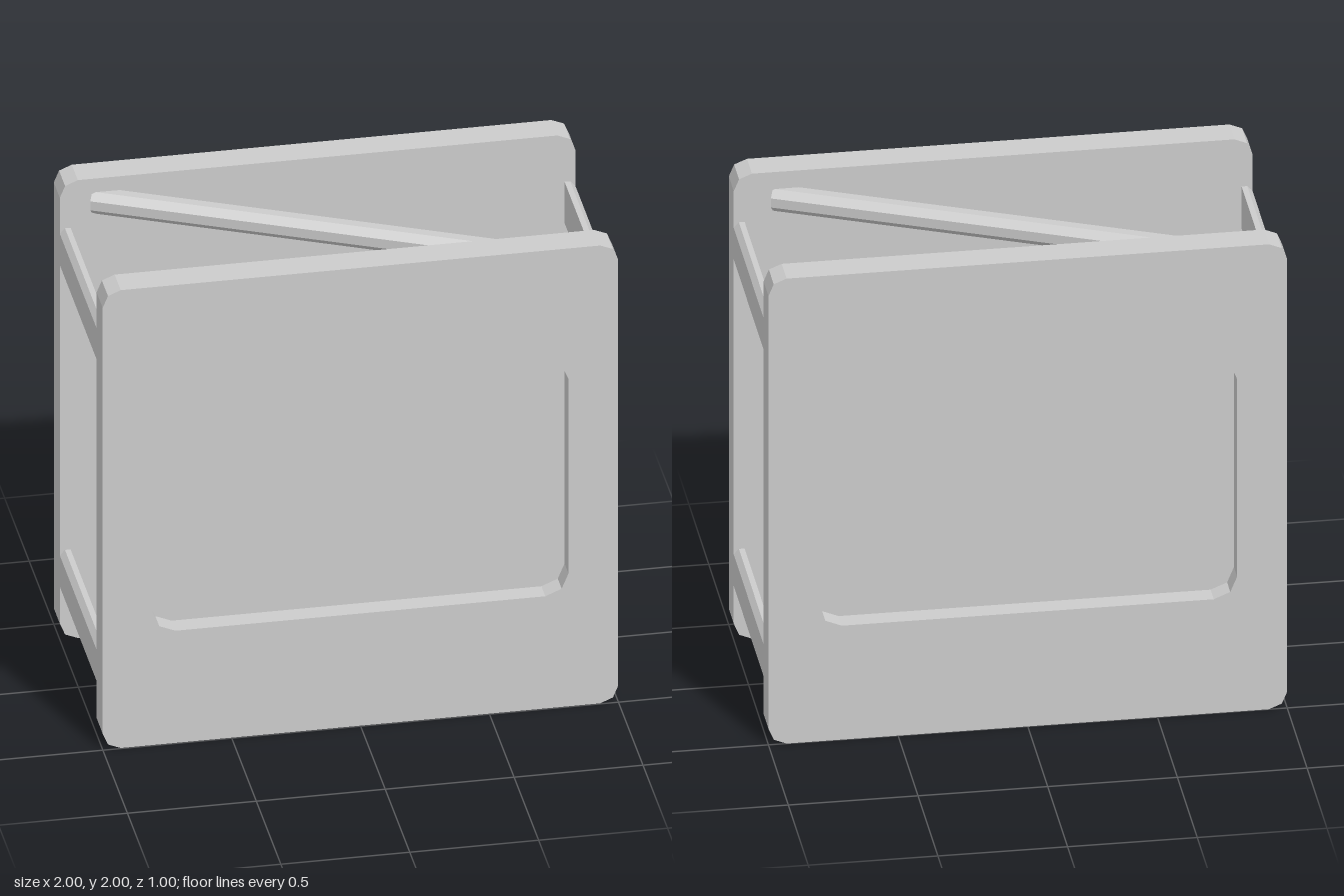
import * as THREE from 'three';

const material = new THREE.MeshStandardMaterial({ color: 0xcccccc, flatShading: true });

// Rectangle outline whose corners are cut by two facets
function facetedRect(halfW, y0, y1, r) {
  const k = r * (1 - Math.SQRT1_2);
  const cy = (y0 + y1) / 2, halfH = (y1 - y0) / 2;
  const corner = [[halfW, halfH - r], [halfW - k, halfH - k], [halfW - r, halfH]];
  const points = [];
  for (const [sx, sy] of [[1, 1], [-1, 1], [-1, -1], [1, -1]]) {
    const c = sx * sy > 0 ? corner : [...corner].reverse();
    for (const [x, y] of c) points.push(new THREE.Vector2(sx * x, cy + sy * y));
  }
  return points;
}

function extrude(name, shape, z0, z1) {
  const geometry = new THREE.ExtrudeGeometry(shape, { depth: z1 - z0, bevelEnabled: false });
  geometry.translate(0, 0, z0);
  const mesh = new THREE.Mesh(geometry, material);
  mesh.name = name;
  return mesh;
}

// Panel with a shallow rounded recess in its outer (+z) face
function makePanel(name, inner, outer) {
  const panel = new THREE.Group();
  panel.name = name;
  const outline = facetedRect(1, 0, 2, 0.07);
  const floor = outer - 0.08;
  const frame = new THREE.Shape(outline);
  frame.holes.push(new THREE.Path(facetedRect(0.807, 0.49, 1.52, 0.09).reverse()));
  panel.add(extrude(name + 'Frame', frame, floor, outer));
  panel.add(extrude(name + 'Backing', new THREE.Shape(outline), inner, floor));
  return panel;
}

// Side rail with chamfered outer edges, running from panel to panel
function makeRail(name, side, y) {
  const profile = [[0.958, -0.09], [0.98, -0.09], [1, -0.068], [1, 0.068], [0.98, 0.09], [0.958, 0.09]];
  const shape = new THREE.Shape(profile.map(([x, dy]) => new THREE.Vector2(side * x, y + dy)));
  return extrude(name, shape, -0.38, 0.38);
}

// Octagonal rod between two points, with a flat facing up
function makeBrace(name, start, end) {
  const a = new THREE.Vector3(...start), b = new THREE.Vector3(...end);
  const overlap = b.clone().sub(a).normalize().multiplyScalar(0.05);
  a.sub(overlap);
  b.add(overlap);
  const geometry = new THREE.CylinderGeometry(0.051, 0.051, a.distanceTo(b), 8);
  geometry.rotateY(Math.PI / 8);
  geometry.rotateX(Math.PI / 2);
  const brace = new THREE.Mesh(geometry, material);
  brace.name = name;
  brace.position.copy(a).add(b).multiplyScalar(0.5);
  brace.lookAt(b);
  return brace;
}

export function createModel() {
  const model = new THREE.Group();
  model.name = 'crossBracedPanels';

  // Front and back panels
  model.add(makePanel('frontPanel', 0.372, 0.496));
  const back = makePanel('backPanel', 0.377, 0.5);
  back.rotation.y = Math.PI;
  model.add(back);

  // Two rails on each side
  for (const [side, label] of [[1, 'left'], [-1, 'right']]) {
    model.add(makeRail(label + 'UpperRail', side, 1.705));
    model.add(makeRail(label + 'LowerRail', side, 0.3));
  }

  // Crossing diagonal braces, one high and one low
  model.add(makeBrace('upperBrace', [-0.82, 1.893, -0.38], [0.795, 1.88, 0.372]));
  model.add(makeBrace('lowerBrace', [0.86, 0.163, -0.38], [-0.76, 0.203, 0.372]));
  return model;
}
